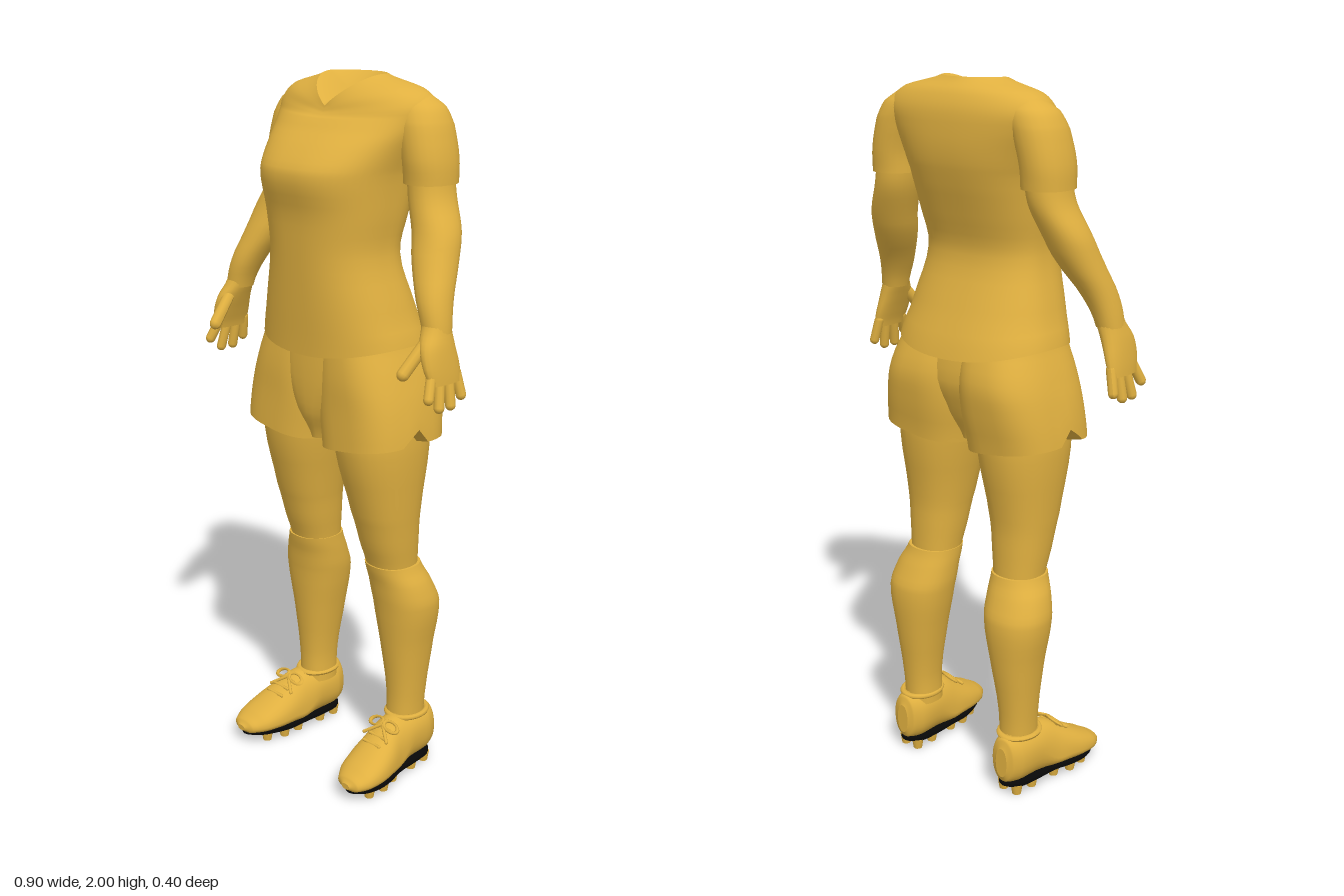
import * as THREE from 'three';

const gold = new THREE.MeshStandardMaterial({ color: 0xe0b040 });
gold.name = 'gold';
const black = new THREE.MeshStandardMaterial({ color: 0x080808 });
black.name = 'black';

// Smooth loft. Ring: [position along axis, centre x, half width, high, low, height of widest point, roundness]
function loft(rings, { axis = 'y', segs = 32, sub = 4, warp = null, topSink = 0 } = {}) {
  const full = rings.map(([t, c, h, hi, lo, mid = (hi + lo) / 2, n = 2.2]) => [t, c, h, hi, lo, mid, n]);
  const at = (i) => full[Math.max(0, Math.min(full.length - 1, i))];
  const rows = [];
  for (let i = 0; i < full.length - 1; i++) {
    for (let s = 0; s < sub; s++) {
      const u = s / sub;
      rows.push(full[i].map((b, k) => {
        const a = at(i - 1)[k], c = at(i + 1)[k], d = at(i + 2)[k];
        if (k === 0) return b + (c - b) * u;
        return 0.5 * (2 * b + (c - a) * u + (2 * a - 5 * b + 4 * c - d) * u * u + (3 * b - a - 3 * c + d) * u ** 3);
      }));
    }
  }
  rows.push(full[full.length - 1]);
  const pos = [], index = [];
  const tri = (a, b, c) => (axis === 'y' ? index.push(a, c, b) : index.push(a, b, c));
  const power = (v, n) => Math.sign(v) * Math.abs(v) ** (2 / n);
  for (const [t, c, h, hi, lo, mid, n] of rows) {
    for (let j = 0; j < segs; j++) {
      const th = (j / segs) * Math.PI * 2;
      const C = power(Math.cos(th), n), S = power(Math.sin(th), n);
      const x = c + h * C, q = mid + S * (S > 0 ? hi - mid : mid - lo);
      if (axis === 'y') pos.push(x, warp ? warp(t, C, S, q) : t, q);
      else pos.push(x, q, t);
    }
  }
  for (let i = 0; i < rows.length - 1; i++) {
    for (let j = 0; j < segs; j++) {
      const a = i * segs + j, b = i * segs + (j + 1) % segs;
      tri(a, b, a + segs);
      tri(b, b + segs, a + segs);
    }
  }
  // End caps with their own vertices, so the rim stays crisp
  for (const row of [0, rows.length - 1]) {
    const base = pos.length / 3, mean = [0, 0, 0];
    for (let j = 0; j < segs; j++) {
      for (let k = 0; k < 3; k++) {
        const v = pos[(row * segs + j) * 3 + k];
        pos.push(v);
        mean[k] += v / segs;
      }
    }
    if (row) mean[1] -= topSink;
    pos.push(...mean);
    for (let j = 0; j < segs; j++) {
      const a = base + j, b = base + (j + 1) % segs;
      if (row) tri(a, b, base + segs); else tri(b, a, base + segs);
    }
  }
  const g = new THREE.BufferGeometry();
  g.setAttribute('position', new THREE.Float32BufferAttribute(pos, 3));
  g.setIndex(index);
  g.computeVertexNormals();
  return g;
}

// Rounded stick between two points
function stick(a, b, r) {
  const p = new THREE.Vector3(...a), q = new THREE.Vector3(...b);
  const d = q.clone().sub(p);
  const g = new THREE.CapsuleGeometry(r, d.length(), 4, 10);
  g.applyQuaternion(new THREE.Quaternion().setFromUnitVectors(new THREE.Vector3(0, 1, 0), d.normalize()));
  return g.translate(...p.add(q).multiplyScalar(0.5).toArray());
}

// Flat plate with a smooth outline given as [x, z] points, its underside at y
function plate(outline, y, depth) {
  const curve = new THREE.CatmullRomCurve3(outline.map(([x, z]) => new THREE.Vector3(x, -z, 0)), true);
  const shape = new THREE.Shape(curve.getPoints(48).map((p) => new THREE.Vector2(p.x, p.y)));
  const g = new THREE.ExtrudeGeometry(shape, { depth, bevelEnabled: false });
  g.setIndex([...Array(g.attributes.position.count).keys()]);
  return g.rotateX(-Math.PI / 2).translate(0, y, 0);
}

function add(group, name, geometry, material = gold) {
  const m = new THREE.Mesh(geometry, material);
  m.name = name;
  group.add(m);
}

function mirrored(group, name) {
  const out = new THREE.Group();
  out.name = name;
  for (const m of group.children) {
    const g = m.geometry.clone().scale(-1, 1, 1);
    const idx = g.index.array;
    for (let i = 0; i < idx.length; i += 3) [idx[i], idx[i + 1]] = [idx[i + 1], idx[i]];
    g.computeVertexNormals();
    add(out, m.name, g, m.material);
  }
  return out;
}

function buildArm() {
  const arm = new THREE.Group();
  arm.name = 'leftArm';
  add(arm, 'sleeve', loft([
    [1.735, 0.262, 0.065, 0, -0.15], [1.8, 0.258, 0.065, 0.005, -0.155], [1.88, 0.236, 0.068, 0, -0.155],
    [1.925, 0.212, 0.068, -0.015, -0.145], [1.955, 0.185, 0.05, -0.045, -0.12], [1.962, 0.17, 0.02, -0.07, -0.095],
  ], { segs: 24 }));
  add(arm, 'bareArm', loft([
    [1.38, 0.389, 0.035, 0.07, -0.01], [1.46, 0.365, 0.045, 0.065, -0.035], [1.55, 0.328, 0.059, 0.035, -0.085],
    [1.62, 0.305, 0.063, 0.01, -0.115], [1.7, 0.271, 0.057, -0.005, -0.138], [1.78, 0.26, 0.055, -0.01, -0.14],
  ], { segs: 24 }));
  add(arm, 'palm', loft([
    [1.255, 0.427, 0.017, 0.095, -0.02], [1.3, 0.417, 0.023, 0.105, -0.02],
    [1.35, 0.402, 0.03, 0.1, -0.014], [1.4, 0.386, 0.034, 0.07, -0.01],
  ], { segs: 20 }));
  const fingers = [[0.085, 0.108, 1.225], [0.052, 0.068, 1.195], [0.02, 0.025, 1.195], [-0.008, -0.015, 1.215]];
  for (const [z0, z1, y] of fingers) add(arm, 'finger', stick([0.422, 1.275, z0], [0.436, y, z1], 0.014));
  add(arm, 'thumb', stick([0.388, 1.355, 0.075], [0.374, 1.285, 0.138], 0.017));
  return arm;
}

function buildLeg() {
  const leg = new THREE.Group();
  leg.name = 'leftLeg';
  // Shorts leg with a raised outer hem and a side slit
  add(leg, 'shortsLeg', loft([
    [1.004, 0.153, 0.144, 0.137, -0.17, -0.01, 2.8], [1.12, 0.139, 0.144, 0.135, -0.188, -0.01, 2.8],
    [1.22, 0.127, 0.135, 0.135, -0.193, -0.02, 2.6], [1.34, 0.105, 0.115, 0.125, -0.155, -0.02, 2.5],
  ], {
    segs: 48,
    warp: (y, C, S, z) => {
      const fade = Math.max(0, 1 - (y - 1.004) / 0.2);
      const slit = C > 0 ? 0.05 * Math.exp(-((z / 0.025) ** 2)) : 0;
      return y + fade * (0.02 * (C + 1) + slit);
    },
  }));
  add(leg, 'thigh', loft([
    [0.63, 0.158, 0.07, 0.012, -0.125], [0.72, 0.157, 0.08, 0.04, -0.125], [0.82, 0.155, 0.092, 0.07, -0.13],
    [1, 0.147, 0.115, 0.115, -0.16], [1.12, 0.14, 0.118, 0.118, -0.165],
  ]));
  add(leg, 'sock', loft([
    [0.15, 0.186, 0.05, -0.03, -0.145], [0.25, 0.188, 0.053, -0.03, -0.15], [0.4, 0.185, 0.073, -0.015, -0.17],
    [0.53, 0.183, 0.095, 0, -0.18], [0.6, 0.173, 0.09, 0.01, -0.155], [0.655, 0.16, 0.077, 0.022, -0.132],
  ]));
  add(leg, 'shoe', loft([
    [-0.175, 0.195, 0.02, 0.15, 0.06], [-0.165, 0.195, 0.04, 0.178, 0.042], [-0.13, 0.195, 0.056, 0.186, 0.034],
    [-0.06, 0.198, 0.06, 0.186, 0.033], [0, 0.203, 0.064, 0.18, 0.033, 0.07], [0.05, 0.211, 0.071, 0.152, 0.033, 0.07],
    [0.1, 0.218, 0.073, 0.124, 0.033, 0.065], [0.15, 0.224, 0.064, 0.097, 0.033, 0.06],
    [0.185, 0.228, 0.042, 0.076, 0.036, 0.055], [0.198, 0.229, 0.015, 0.062, 0.045, 0.054],
  ], { axis: 'z' }));
  // Dark sole
  add(leg, 'sole', plate([
    [0.195, -0.166], [0.235, -0.14], [0.249, -0.07], [0.256, 0], [0.274, 0.06], [0.279, 0.11], [0.265, 0.16],
    [0.229, 0.186], [0.188, 0.16], [0.163, 0.11], [0.15, 0.06], [0.15, 0], [0.148, -0.07], [0.157, -0.14],
  ], 0.028, 0.009), black);
  // Studs under the heel and the ball of the foot
  const studs = [[0.172, -0.135], [0.22, -0.135], [0.17, -0.075], [0.226, -0.075], [0.174, 0.015],
    [0.236, 0.015], [0.174, 0.07], [0.254, 0.07], [0.192, 0.125], [0.252, 0.125]];
  for (const [x, z] of studs) {
    add(leg, 'stud', new THREE.CylinderGeometry(0.018, 0.013, 0.03, 12).translate(x, 0.015, z));
  }
  // Ankle cuff
  add(leg, 'shoeCollar', new THREE.TorusGeometry(0.053, 0.008, 8, 28)
    .rotateX(Math.PI / 2).scale(1, 1, 1.2).translate(0.192, 0.178, -0.09));
  // Laces and bow
  for (const [z, y] of [[0.075, 0.134], [0.05, 0.148], [0.025, 0.163]]) {
    add(leg, 'lace', stick([0.18, y, z], [0.24, y, z], 0.005));
  }
  for (const s of [-1, 1]) {
    add(leg, 'bowLoop', new THREE.TorusGeometry(0.018, 0.005, 6, 16)
      .scale(1.4, 0.8, 1).rotateX(-1).rotateZ(-s * 0.25).translate(0.205 + s * 0.028, 0.174, 0.02));
    add(leg, 'laceEnd', stick([0.205, 0.175, 0.025], [0.205 + s * 0.045, 0.145, 0.055], 0.005));
  }
  return leg;
}

export function createModel() {
  const model = new THREE.Group();
  model.name = 'headlessFigure';

  // Shirt body with a V neckline and a hem that rises at the sides
  add(model, 'shirt', loft([
    [1.27, 0, 0.25, 0.155, -0.2, -0.02, 2.4], [1.4, 0, 0.222, 0.162, -0.155, -0.01, 2.4],
    [1.54, 0, 0.187, 0.17, -0.113, 0, 2.4], [1.65, 0, 0.196, 0.178, -0.14, -0.01, 2.5],
    [1.755, 0, 0.207, 0.198, -0.172, -0.03, 2.5], [1.82, 0, 0.228, 0.155, -0.184, -0.05, 2.4],
    [1.89, 0, 0.255, 0.085, -0.184, -0.075, 2.3], [1.93, 0, 0.258, 0.065, -0.178, -0.08, 2.2],
    [1.968, 0, 0.215, 0.058, -0.16, -0.075, 2.1], [2, 0, 0.1, 0.055, -0.128, -0.06, 1.8],
  ], {
    segs: 56,
    topSink: 0.035,
    warp: (y, C, S) => {
      const neck = S > 0 ? Math.max(0, (y - 1.89) / 0.11) * 0.08 * (1 - Math.abs(C)) : 0;
      const hem = Math.max(0, 1 - (y - 1.27) / 0.1) * 0.035 * C * C;
      return y - neck + hem;
    },
  }));
  add(model, 'shortsSeat', loft([
    [1.02, 0, 0.035, 0.1, -0.1], [1.1, 0, 0.1, 0.128, -0.14], [1.2, 0, 0.19, 0.134, -0.172], [1.34, 0, 0.21, 0.128, -0.155],
  ]));

  for (const [limb, name] of [[buildArm(), 'rightArm'], [buildLeg(), 'rightLeg']]) {
    model.add(limb, mirrored(limb, name));
  }
  return model;
}
